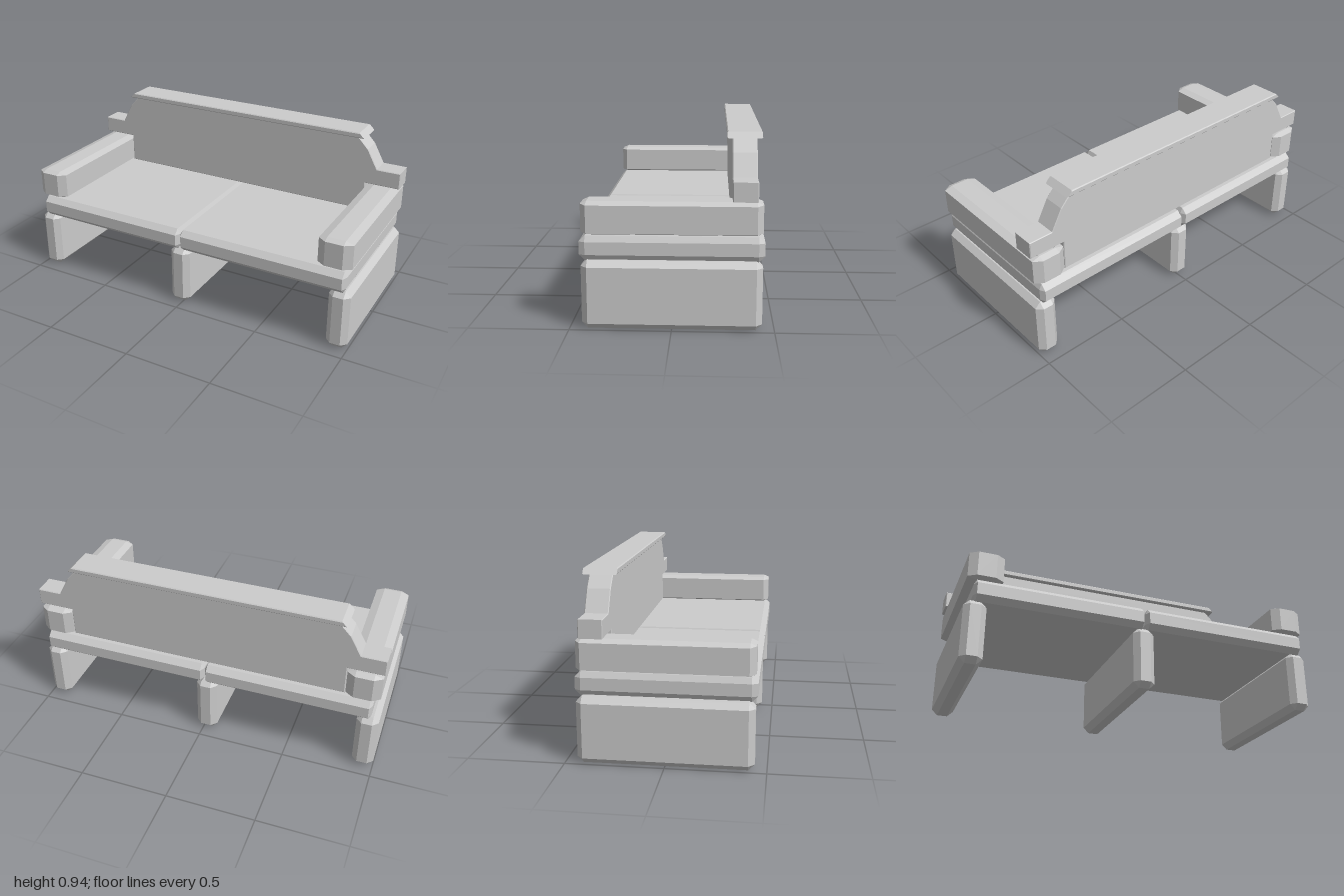
import * as THREE from 'three';
import { ConvexGeometry } from 'three/addons/geometries/ConvexGeometry.js';

const material = new THREE.MeshStandardMaterial({ color: 0xcccccc, flatShading: true });

// Box between two corners with every edge cut by the chamfer (cx, cy, cz)
function chamferBox([x0, x1], [y0, y1], [z0, z1], [cx, cy, cz]) {
  const points = [];
  for (const [x, dx] of [[x0, cx], [x1, -cx]])
    for (const [y, dy] of [[y0, cy], [y1, -cy]])
      for (const [z, dz] of [[z0, cz], [z1, -cz]])
        points.push(
          new THREE.Vector3(x, y + dy, z + dz),
          new THREE.Vector3(x + dx, y, z + dz),
          new THREE.Vector3(x + dx, y + dy, z));
  return new ConvexGeometry(points);
}

export function createModel() {
  const model = new THREE.Group();
  const add = (name, geometry) => {
    const mesh = new THREE.Mesh(geometry, material);
    mesh.name = name;
    model.add(mesh);
  };

  // Three slab legs running front to back
  for (const [name, x] of [['rightLeg', -0.94], ['middleLeg', -0.018], ['leftLeg', 0.937]])
    add(name, chamferBox([x - 0.06, x + 0.06], [0, 0.346], [-0.44, 0.44], [0.031, 0.031, 0.031]));

  // Two seat cushions
  for (const [name, span] of [['rightSeat', [-0.957, -0.013]], ['leftSeat', [-0.008, 0.97]]])
    add(name, chamferBox(span, [0.34, 0.464], [-0.45, 0.45], [0.015, 0.03, 0.031]));

  // Armrests
  for (const [name, span] of [['rightArmrest', [-0.992, -0.803]], ['leftArmrest', [0.803, 0.992]]])
    add(name, chamferBox(span, [0.468, 0.633], [-0.44, 0.44], [0.045, 0.014, 0.031]));

  // Backrest: stepped panel whose ends reach over the armrests
  const half = [[0.797, 0.478], [0.797, 0.645], [0.997, 0.645], [0.997, 0.734],
    [0.862, 0.734], [0.8, 0.847], [0.737, 0.914]];
  const outline = [...half, ...half.map(([x, y]) => [-x, y]).reverse()];
  const back = new THREE.ExtrudeGeometry(
    new THREE.Shape(outline.map(([x, y]) => new THREE.Vector2(x, y))),
    { depth: 0.114, bevelThickness: 0.004, bevelSize: 0.004, bevelOffset: -0.001, bevelSegments: 1 });
  back.translate(0, 0, -0.408);
  add('backrest', back);

  // Top rail: thin cap with undercut-looking slanted ends
  const rail = [];
  for (const [y, x, z] of [[0.914, 0.783, 0.082], [0.919, 0.778, 0.087],
    [0.94, 0.757, 0.087], [0.945, 0.752, 0.082]])
    for (const sx of [-1, 1])
      for (const sz of [-1, 1])
        rail.push(new THREE.Vector3(sx * x, y, -0.351 + sz * z));
  add('topRail', new ConvexGeometry(rail));

  return model;
}
